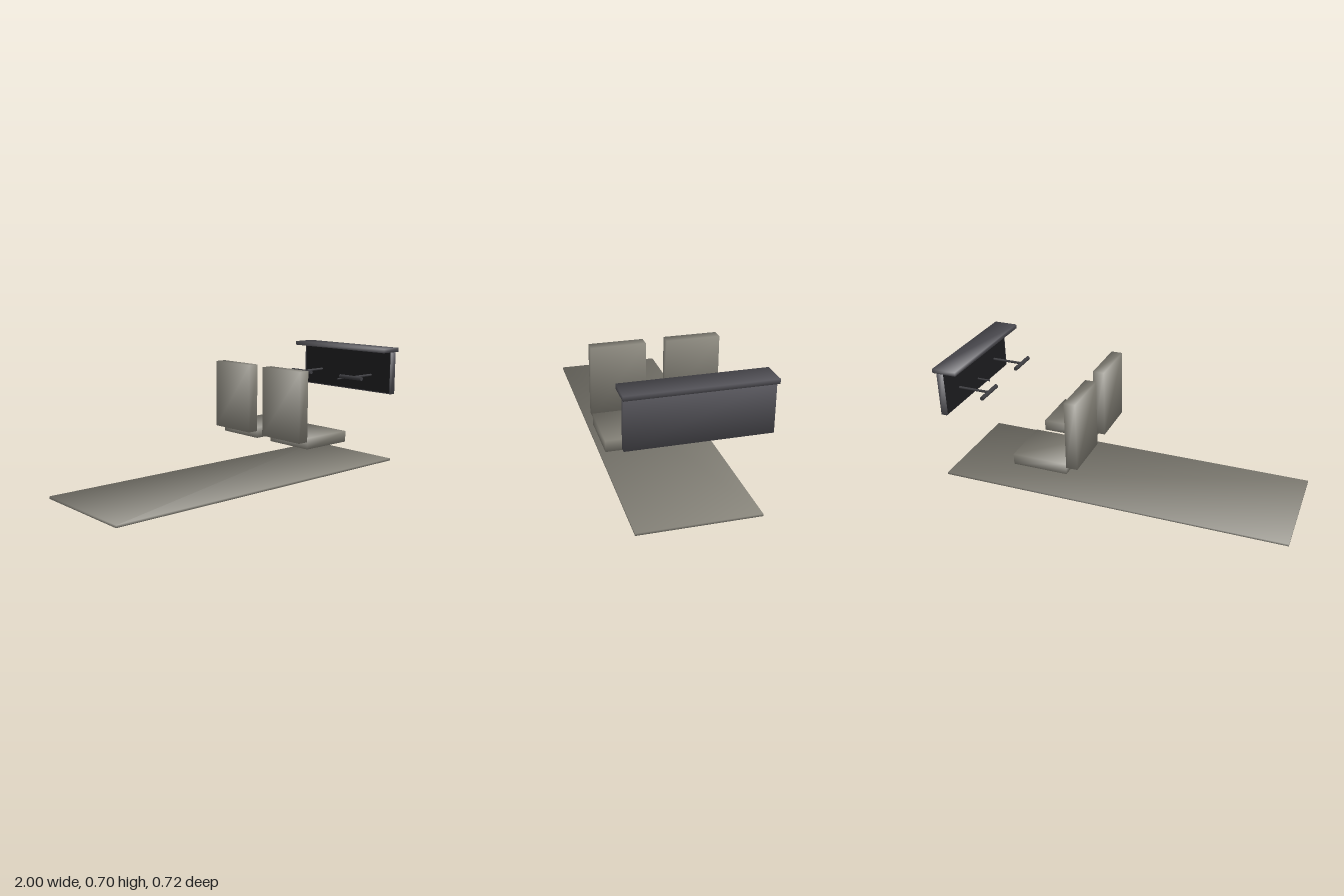
import * as THREE from 'three';

const mat = (name, color) => {
  const m = new THREE.MeshStandardMaterial({ color });
  m.name = name;
  return m;
};

export function createModel() {
  const model = new THREE.Group();
  model.name = 'cockpitInterior';
  const grey = mat('warmGrey', 0x8a877d);
  const dark = mat('darkGrey', 0x55545a);
  const black = mat('instrumentBlack', 0x1c1c1e);
  const metal = mat('controlGrey', 0x3c3c40);

  // Box between two corners; soft normals point out through the corners
  const box = (name, material, [x0, y0, z0], [x1, y1, z1], soft = true) => {
    const g = new THREE.BoxGeometry(x1 - x0, y1 - y0, z1 - z0);
    if (soft) {
      const p = g.attributes.position, n = g.attributes.normal, k = 1 / Math.sqrt(3);
      for (let i = 0; i < p.count; i++) {
        n.setXYZ(i, Math.sign(p.getX(i)) * k, Math.sign(p.getY(i)) * k, Math.sign(p.getZ(i)) * k);
      }
    }
    const mesh = new THREE.Mesh(g, material);
    mesh.name = name;
    mesh.position.set((x0 + x1) / 2, (y0 + y1) / 2, (z0 + z1) / 2);
    return mesh;
  };

  // Round bar between two points
  const rod = (name, a, b, radius) => {
    const from = new THREE.Vector3(...a), to = new THREE.Vector3(...b);
    const dir = to.clone().sub(from);
    const mesh = new THREE.Mesh(new THREE.CylinderGeometry(radius, radius, dir.length(), 12), metal);
    mesh.name = name;
    mesh.position.copy(from).add(to).multiplyScalar(0.5);
    mesh.quaternion.setFromUnitVectors(new THREE.Vector3(0, 1, 0), dir.normalize());
    return mesh;
  };

  model.add(box('floor', grey, [-1, 0, -0.315], [1, 0.013, 0.315]));

  // Two seats, each with its own control yoke
  for (const side of [-1, 1]) {
    const zc = side * 0.203;
    const seat = new THREE.Group();
    seat.name = side > 0 ? 'frontSeat' : 'rearSeat';
    seat.add(
      box('seatCushion', grey, [0.22, 0.192, zc - 0.146], [0.535, 0.254, zc + 0.146]),
      box('seatBack', grey, [0.155, 0.233, zc - 0.146], [0.22, 0.626, zc + 0.146])
    );
    const yoke = new THREE.Group();
    yoke.name = 'controlYoke';
    yoke.add(
      rod('yokeShaft', [0.74, 0.53, zc], [0.932, 0.53, zc], 0.007),
      rod('yokeHandle', [0.74, 0.53, zc - 0.083], [0.74, 0.53, zc + 0.083], 0.012)
    );
    model.add(seat, yoke);
  }

  // Dashboard with a dark instrument face and an overhanging cap
  const dash = new THREE.Group();
  dash.name = 'dashboard';
  dash.add(
    box('dashPanel', dark, [0.93, 0.426, -0.355], [0.965, 0.68, 0.355]),
    box('instrumentFace', black, [0.927, 0.432, -0.345], [0.931, 0.679, 0.345], false),
    box('glareShield', dark, [0.845, 0.68, -0.361], [0.985, 0.704, 0.361]),
    rod('throttleLever', [0.85, 0.491, 0], [0.93, 0.491, 0], 0.005)
  );
  model.add(dash);
  return model;
}
